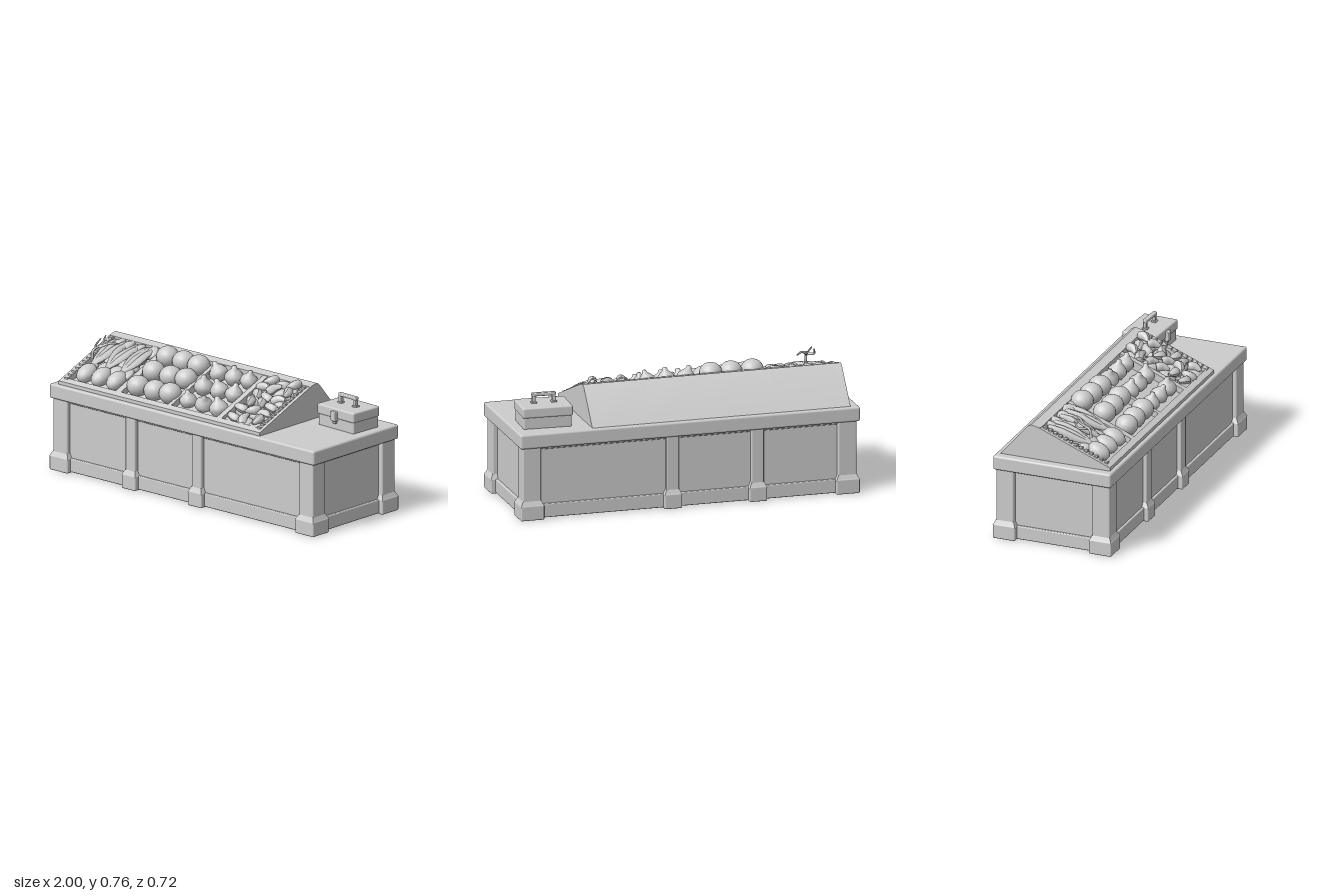
import * as THREE from 'three';
import { RoundedBoxGeometry } from 'three/addons/geometries/RoundedBoxGeometry.js';
import { toCreasedNormals } from 'three/addons/utils/BufferGeometryUtils.js';

const stone = new THREE.MeshStandardMaterial({ color: 0xcccccc });
stone.name = 'pale grey';
stone.side = THREE.DoubleSide;

let seed = 7;
const rnd = (a, b) => {
  seed = (seed * 16807) % 2147483647;
  return a + (b - a) * (seed / 2147483647);
};
// height of the sloping display front at depth z
const slopeY = (z) => 0.525 + (0.335 - z) * 0.41;

function add(parent, name, geo, x = 0, y = 0, z = 0) {
  const mesh = new THREE.Mesh(geo, stone);
  mesh.name = name;
  mesh.position.set(x, y, z);
  parent.add(mesh);
  return mesh;
}

// rounded box given by its limits
function block(parent, name, x0, x1, y0, y1, z0, z1, r = 0.006) {
  const geo = new RoundedBoxGeometry(x1 - x0, y1 - y0, z1 - z0, 2, r);
  return add(parent, name, geo, (x0 + x1) / 2, (y0 + y1) / 2, (z0 + z1) / 2);
}

// box whose top is drawn in by inset
function taperBlock(parent, name, x0, x1, y0, y1, z0, z1, inset) {
  const w = x1 - x0, d = z1 - z0;
  const geo = new THREE.BoxGeometry(w, y1 - y0, d);
  const p = geo.attributes.position;
  for (let i = 0; i < p.count; i++) {
    if (p.getY(i) > 0) {
      p.setX(i, p.getX(i) * (1 - 2 * inset / w));
      p.setZ(i, p.getZ(i) * (1 - 2 * inset / d));
    }
  }
  geo.computeVertexNormals();
  return add(parent, name, geo, (x0 + x1) / 2, (y0 + y1) / 2, (z0 + z1) / 2);
}

// side profile in (z, y), extruded from x0 to x1
function profileBoard(parent, name, pts, x0, x1) {
  const shape = new THREE.Shape(pts.map(([z, y]) => new THREE.Vector2(-z, y)));
  const geo = new THREE.ExtrudeGeometry(shape, { depth: x1 - x0, bevelEnabled: false });
  geo.rotateY(Math.PI / 2);
  // after the turn, shape x runs along -z and depth along +x
  return add(parent, name, toCreasedNormals(geo, 0.5), x0, 0, 0);
}

// curved tube whose thickness follows radius(u)
function taperTube(parent, name, pts, radius, segs = 12, sides = 8) {
  const curve = new THREE.CatmullRomCurve3(pts.map((p) => new THREE.Vector3(...p)));
  const geo = new THREE.TubeGeometry(curve, segs, 1, sides);
  const p = geo.attributes.position, v = new THREE.Vector3();
  for (let i = 0; i < p.count; i++) {
    const u = Math.floor(i / (sides + 1)) / segs;
    const c = curve.getPointAt(u);
    v.fromBufferAttribute(p, i).sub(c).multiplyScalar(radius(u)).add(c);
    p.setXYZ(i, v.x, v.y, v.z);
  }
  geo.computeVertexNormals();
  return add(parent, name, geo);
}

function makeCounter() {
  const g = new THREE.Group();
  g.name = 'counter';
  block(g, 'panels', -0.955, 0.955, 0.01, 0.43, -0.322, 0.322);
  block(g, 'skirting', -0.97, 0.97, 0.005, 0.085, -0.335, 0.335);
  block(g, 'topRail', -0.965, 0.965, 0.405, 0.43, -0.332, 0.332);
  block(g, 'counterTop', -1, 1, 0.42, 0.505, -0.36, 0.36, 0.012);
  const post = (x0, x1, z0, z1) => {
    block(g, 'post', x0, x1, 0.05, 0.43, z0, z1, 0.008);
    const e = 0.015;
    block(g, 'foot', x0 - e, x1 + e, 0, 0.088, z0 - e, z1 + e, 0.008);
    taperBlock(g, 'footShoulder', x0 - e, x1 + e, 0.08, 0.11, z0 - e, z1 + e, e);
  };
  for (const s of [-1, 1]) {
    const z0 = s > 0 ? 0.24 : -0.347, z1 = s > 0 ? 0.347 : -0.24;
    post(-0.983, -0.875, z0, z1);
    post(0.875, 0.983, z0, z1);
    for (const x of [-0.4, 0.1]) {
      post(x - 0.037, x + 0.037, s > 0 ? 0.3 : -0.347, s > 0 ? 0.347 : -0.3);
    }
  }
  return g;
}

function makeStand() {
  const g = new THREE.Group();
  g.name = 'displayStand';
  const back = [[-0.1, 0.7], [-0.145, 0.71], [-0.165, 0.7], [-0.337, 0.5]];
  const full = [[0.335, 0.5], [0.335, 0.525], ...back];
  // sunken trough with a front lip and a solid back
  const trough = [[0.335, 0.5], [0.335, 0.525], [0.3, slopeY(0.3)], [0.3, 0.505],
    [-0.09, slopeY(-0.09) - 0.06], [-0.09, slopeY(-0.09)], ...back];
  profileBoard(g, 'trough', trough, -0.945, 0.56);
  for (const [x0, x1] of [[-0.95, -0.91], [-0.55, -0.51], [-0.155, -0.13], [0.215, 0.25], [0.53, 0.57]]) {
    profileBoard(g, 'divider', full, x0, x1);
  }
  // notched trim along both end boards
  for (const x of [-0.918, 0.538]) {
    for (let i = 0; i < 13; i++) {
      const z = 0.3 - i * 0.031;
      add(g, 'trimNotch', new THREE.BoxGeometry(0.024, 0.012, 0.02), x, slopeY(z), z);
    }
  }
  return g;
}

function makeFruit() {
  const g = new THREE.Group();
  g.name = 'fruit';
  // large round fruit
  for (const z of [-0.035, 0.09, 0.22]) {
    for (const x of [-0.45, -0.33, -0.215]) {
      const m = add(g, 'roundFruit', new THREE.SphereGeometry(0.066, 18, 12),
        x + rnd(-0.01, 0.01), slopeY(z) - 0.005 + rnd(0, 0.012), z + rnd(-0.008, 0.008));
      m.scale.y = 0.92;
    }
  }
  // pointed fruit, turned from one profile
  const pear = new THREE.LatheGeometry([[0, -0.055], [0.035, -0.045], [0.057, -0.012], [0.053, 0.014],
    [0.034, 0.036], [0.018, 0.05], [0.013, 0.068], [0, 0.073]].map((p) => new THREE.Vector2(...p)), 14);
  for (const z of [-0.035, 0.09, 0.22]) {
    for (const x of [-0.073, 0.045, 0.158]) {
      const m = add(g, 'pointedFruit', pear, x, slopeY(z) - 0.01, z);
      m.rotation.set(rnd(-0.1, 0.45), 0, rnd(-0.4, 0.4));
      m.scale.setScalar(rnd(0.88, 1));
    }
  }
  return g;
}

function makeRoots() {
  const g = new THREE.Group();
  g.name = 'rootVegetables';
  [-0.84, -0.73, -0.615].forEach((x) => {
    // plump root at the front with stalks running up the slope
    const m = add(g, 'root', new THREE.SphereGeometry(0.055, 14, 10), x, slopeY(0.22) - 0.005, 0.22);
    m.scale.set(0.95, 0.85, 1.3);
    m.rotation.x = 0.4;
    for (let k = -1; k <= 1; k++) {
      const ex = x + k * 0.04 + rnd(-0.02, 0.02);
      taperTube(g, 'stalk', [[x, slopeY(0.18) + 0.015, 0.18], [x + k * 0.025, slopeY(0.09) + rnd(0, 0.025), 0.09],
        [ex, slopeY(0) + rnd(0, 0.015), 0], [ex, slopeY(-0.07) - 0.005, -0.07]],
      (u) => 0.011 + 0.012 * Math.sin(u * Math.PI), 10, 6);
    }
  });
  // leaf bed filling the upper part of the bin
  for (let i = 0; i < 16; i++) {
    const z = -0.05 + 0.068 * Math.floor(i / 4);
    const leaf = add(g, 'leaf', new THREE.SphereGeometry(0.05, 9, 6),
      -0.86 + (i % 4) * 0.087 + rnd(-0.012, 0.012), slopeY(z) - 0.01, z);
    leaf.scale.set(rnd(0.6, 0.95), 0.45, rnd(0.9, 1.2));
    leaf.rotation.set(0.4, rnd(-0.6, 0.6), rnd(-0.5, 0.5));
  }
  // loose sprig standing above the heap
  const thin = (u) => 0.009 * (1 - 0.55 * u);
  taperTube(g, 'sprig', [[-0.84, 0.64, 0.175], [-0.84, 0.69, 0.165], [-0.83, 0.71, 0.11], [-0.84, 0.752, 0.06]], thin);
  taperTube(g, 'sprig', [[-0.83, 0.7, 0.13], [-0.79, 0.72, 0.09], [-0.75, 0.718, 0.045]], thin);
  taperTube(g, 'sprig', [[-0.83, 0.69, 0.15], [-0.87, 0.7, 0.11], [-0.86, 0.735, 0.08]], thin);
  return g;
}

function makePeppers() {
  const g = new THREE.Group();
  g.name = 'peppers';
  for (let i = 0; i < 18; i++) {
    const z = -0.055 + 0.062 * Math.floor(i / 3);
    const x = 0.305 + (i % 3) * 0.085;
    const a = rnd(0, Math.PI * 2), l = 0.055;
    const dx = Math.cos(a) * l * 0.8, dz = Math.sin(a) * l * 0.7;
    const y = slopeY(z) + rnd(-0.02, 0.004);
    taperTube(g, 'pepper', [[x - dx, y + dz * 0.41, z - dz], [x + dz * 0.3, y + 0.012, z - dx * 0.3],
      [x + dx, y - dz * 0.41 + 0.012, z + dz]],
    (u) => 0.004 + 0.03 * Math.sqrt(Math.sin(Math.PI * Math.min(1, u * 0.85 + 0.1))) * (1 - 0.55 * u), 10, 8);
  }
  // lower layer closing the gaps
  for (let i = 0; i < 12; i++) {
    const z = -0.04 + 0.1 * Math.floor(i / 3);
    const m = add(g, 'pepperUnder', new THREE.SphereGeometry(0.055, 10, 7), 0.3 + (i % 3) * 0.09, slopeY(z) - 0.035, z);
    m.scale.y = 0.6;
    m.rotation.x = 0.4;
  }
  return g;
}

function makeCashBox() {
  const g = new THREE.Group();
  g.name = 'cashBox';
  block(g, 'boxBody', -0.14, 0.14, 0.5, 0.572, -0.1, 0.1, 0.008);
  block(g, 'boxLid', -0.146, 0.146, 0.568, 0.628, -0.106, 0.106, 0.01);
  block(g, 'latch', -0.02, 0.02, 0.555, 0.612, 0.1, 0.124, 0.005);
  block(g, 'latchTongue', -0.012, 0.012, 0.54, 0.56, 0.1, 0.115, 0.004);
  for (const s of [-1, 1]) {
    block(g, 'handlePost', s * 0.058 - 0.01, s * 0.058 + 0.01, 0.62, 0.682, -0.011, 0.011, 0.004);
    block(g, 'handleFoot', s * 0.058 - 0.016, s * 0.058 + 0.016, 0.622, 0.637, -0.016, 0.016, 0.004);
  }
  block(g, 'handleGrip', -0.07, 0.07, 0.667, 0.687, -0.013, 0.013, 0.006);
  g.position.set(0.803, 0, -0.153);
  g.rotation.y = -0.05;
  return g;
}

export function createModel() {
  const model = new THREE.Group();
  model.name = 'marketCounter';
  model.add(makeCounter(), makeStand(), makeFruit(), makeRoots(), makePeppers(), makeCashBox());
  return model;
}
